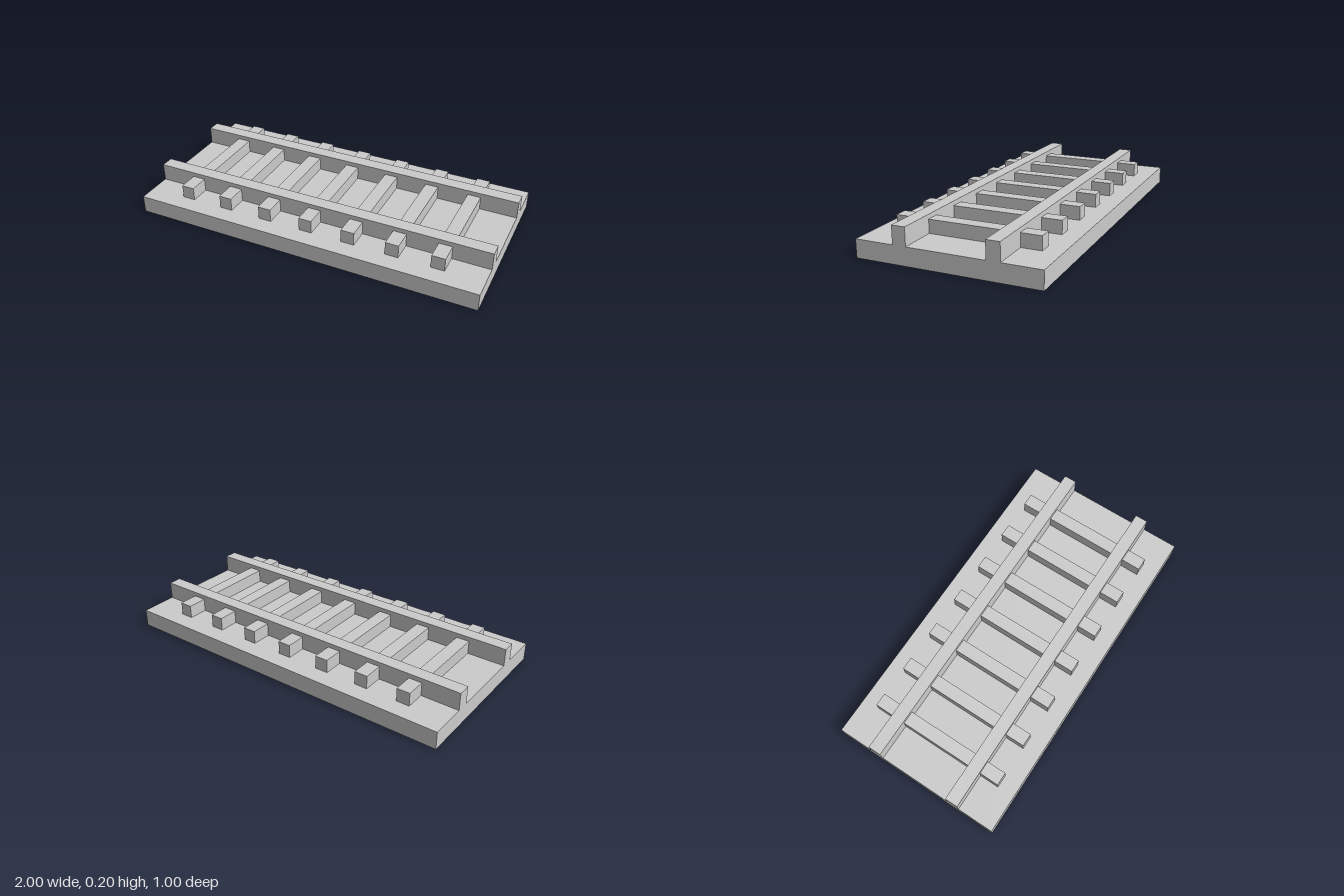
import * as THREE from 'three';

export function createModel() {
  const model = new THREE.Group();
  model.name = 'railwayTrack';
  const material = new THREE.MeshStandardMaterial({ color: 0xcccccc, flatShading: true });

  // Adds a box whose underside rests at height y
  function addBox(name, [w, h, d], x, y, z) {
    const mesh = new THREE.Mesh(new THREE.BoxGeometry(w, h, d), material);
    mesh.name = name;
    mesh.position.set(x, y + h / 2, z);
    model.add(mesh);
  }

  // Track bed
  const bedHeight = 0.1;
  addBox('trackBed', [2, bedHeight, 1], 0, 0, 0);

  // Two rails along the full length
  addBox('leftRail', [2, 0.1, 0.075], 0, bedHeight, 0.25);
  addBox('rightRail', [2, 0.1, 0.075], 0, bedHeight, -0.25);

  // Seven evenly spaced sleepers passing under the rail tops
  for (let i = -3; i <= 3; i++) {
    addBox(`sleeper${i + 4}`, [0.075, 0.075, 0.8], i * 0.25, bedHeight, 0);
  }

  return model;
}
